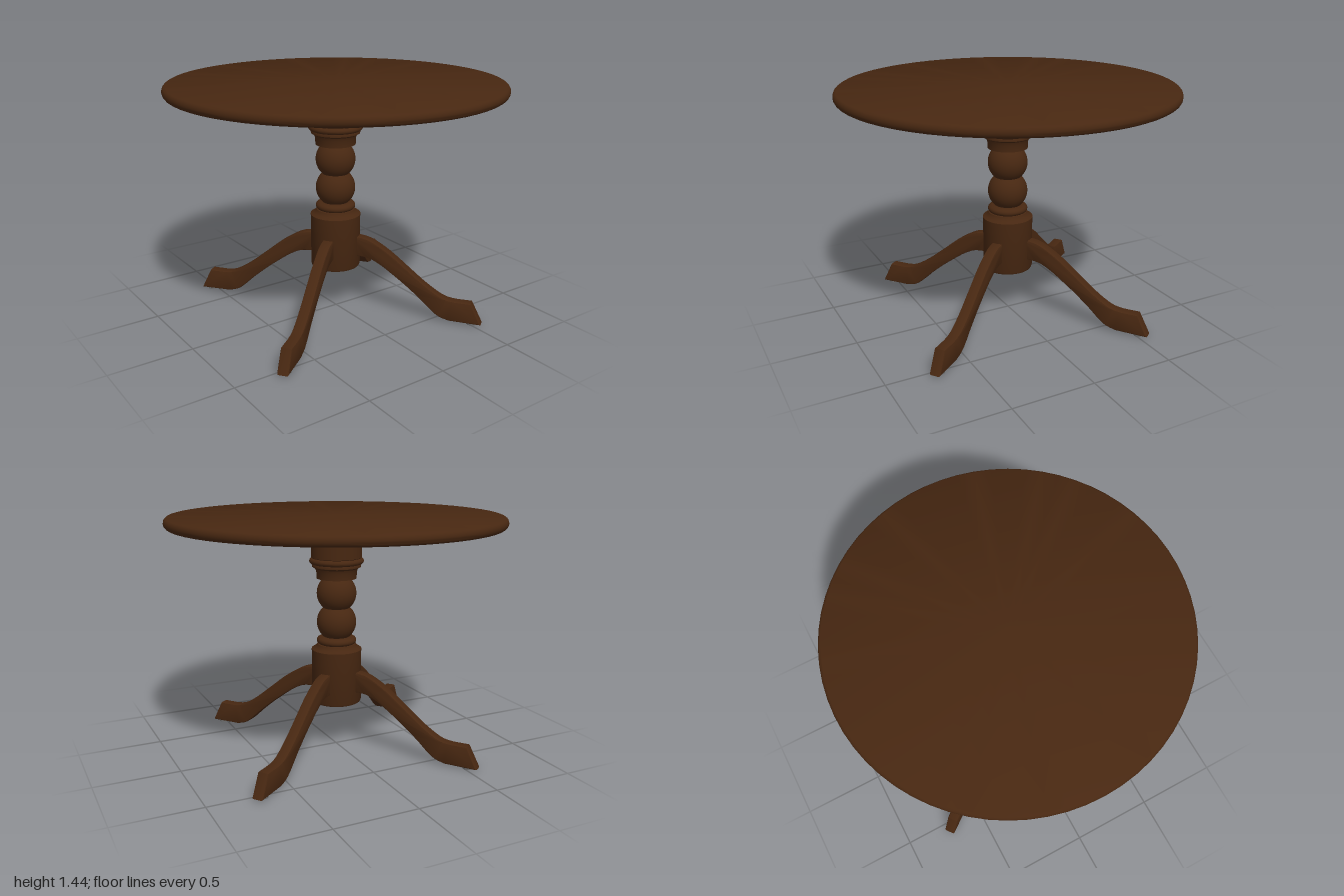
import * as THREE from 'three';
import { toCreasedNormals } from 'three/addons/utils/BufferGeometryUtils.js';

const wood = new THREE.MeshStandardMaterial({ color: 0x472711 });
wood.name = 'dark wood';
const metal = new THREE.MeshStandardMaterial({ color: 0x6c6c6c });
metal.name = 'grey metal';

function mesh(name, geometry, material, parent) {
  const m = new THREE.Mesh(geometry, material);
  m.name = name;
  parent.add(m);
  return m;
}

// Turned part from [radius, height] pairs, bottom to top
function turned(points, segments) {
  const g = new THREE.LatheGeometry(points.map(([r, y]) => new THREE.Vector2(r, y)), segments);
  return toCreasedNormals(g, 0.6);
}

// Arc of a profile: bulge of radius b (and half height h) around [r, y]
function bulge(r, y, b, h, from, to, steps) {
  return Array.from({ length: steps + 1 }, (_, i) => {
    const a = THREE.MathUtils.degToRad(from + ((to - from) * i) / steps);
    return [r + b * Math.cos(a), y + h * Math.sin(a)];
  });
}

// Curved leg in side outline, running out along +x
function legGeometry() {
  const v = (x, y) => new THREE.Vector2(x, y);
  const s = new THREE.Shape();
  s.moveTo(0.11, 0.365);
  s.lineTo(0.17, 0.365);
  s.splineThru([v(0.23, 0.355), v(0.3, 0.32), v(0.38, 0.265), v(0.46, 0.205),
    v(0.55, 0.13), v(0.62, 0.065), v(0.67, 0.03), v(0.73, 0.012)]);
  s.lineTo(0.925, 0.01);
  s.lineTo(0.86, 0.14);
  s.lineTo(0.76, 0.14);
  s.splineThru([v(0.7, 0.15), v(0.64, 0.18), v(0.56, 0.235), v(0.46, 0.315),
    v(0.36, 0.395), v(0.27, 0.453), v(0.2, 0.483), v(0.11, 0.495)]);
  s.closePath();
  const g = new THREE.ExtrudeGeometry(s, {
    depth: 0.05, curveSegments: 24, bevelEnabled: true,
    bevelThickness: 0.008, bevelSize: 0.008, bevelOffset: -0.008, bevelSegments: 2,
  });
  g.translate(0, 0, -0.025);
  return toCreasedNormals(g, 0.5);
}

export function createModel() {
  const table = new THREE.Group();
  table.name = 'pedestalTable';

  // Round top with a softened rim
  mesh('tableTop', turned([
    [0, 1.378], [0.98, 1.378],
    ...bulge(0.975, 1.408, 0.025, 0.03, -70, 70, 8),
    [0.98, 1.438], [0, 1.438],
  ], 64), wood, table);

  const base = new THREE.Group();
  base.name = 'base';
  base.position.x = -0.004;
  table.add(base);

  // Mounting plate under the top
  const plate = new THREE.CylinderGeometry(0.31, 0.31, 0.035, 48);
  mesh('mountingPlate', plate, wood, base).position.y = 1.361;

  // Turned column: drum, collar, two balls, flared capital
  mesh('column', turned([
    [0, 0.285], [0.135, 0.285], [0.147, 0.29], [0.152, 0.302], [0.152, 0.605],
    [0.153, 0.615], [0.153, 0.622], [0.135, 0.632], [0.122, 0.645], [0.118, 0.655],
    ...bulge(0.1, 0.676, 0.021, 0.021, -70, 70, 6),
    [0.1, 0.7],
    ...bulge(0, 0.79, 0.12, 0.12, -48, 48, 14),
    ...bulge(0, 0.968, 0.12, 0.12, -48, 48, 14),
    [0.1, 1.06], [0.121, 1.06], [0.122, 1.1], [0.13, 1.12], [0.147, 1.13],
    [0.148, 1.142], [0.146, 1.147],
    ...bulge(0.146, 1.165, 0.018, 0.018, -80, 80, 8),
    [0.152, 1.186], [0.152, 1.346], [0, 1.346],
  ], 48), wood, base);

  const leg = legGeometry();
  const glide = new THREE.CylinderGeometry(0.028, 0.028, 0.014, 20);
  const screw = new THREE.CylinderGeometry(0.02, 0.014, 0.016, 14);
  for (let i = 0; i < 4; i++) {
    // Legs with floor glides
    const arm = new THREE.Group();
    arm.name = `legAssembly${i + 1}`;
    arm.rotation.y = THREE.MathUtils.degToRad(-53 + i * 90);
    base.add(arm);
    mesh('leg', leg, wood, arm);
    mesh('floorGlide', glide, metal, arm).position.set(0.865, 0.007, 0);

    // Screws through the plate
    const a = THREE.MathUtils.degToRad(-57 + i * 90);
    mesh('plateScrew', screw, metal, base)
      .position.set(0.24 * Math.cos(a), 1.336, -0.24 * Math.sin(a));
  }
  return table;
}
